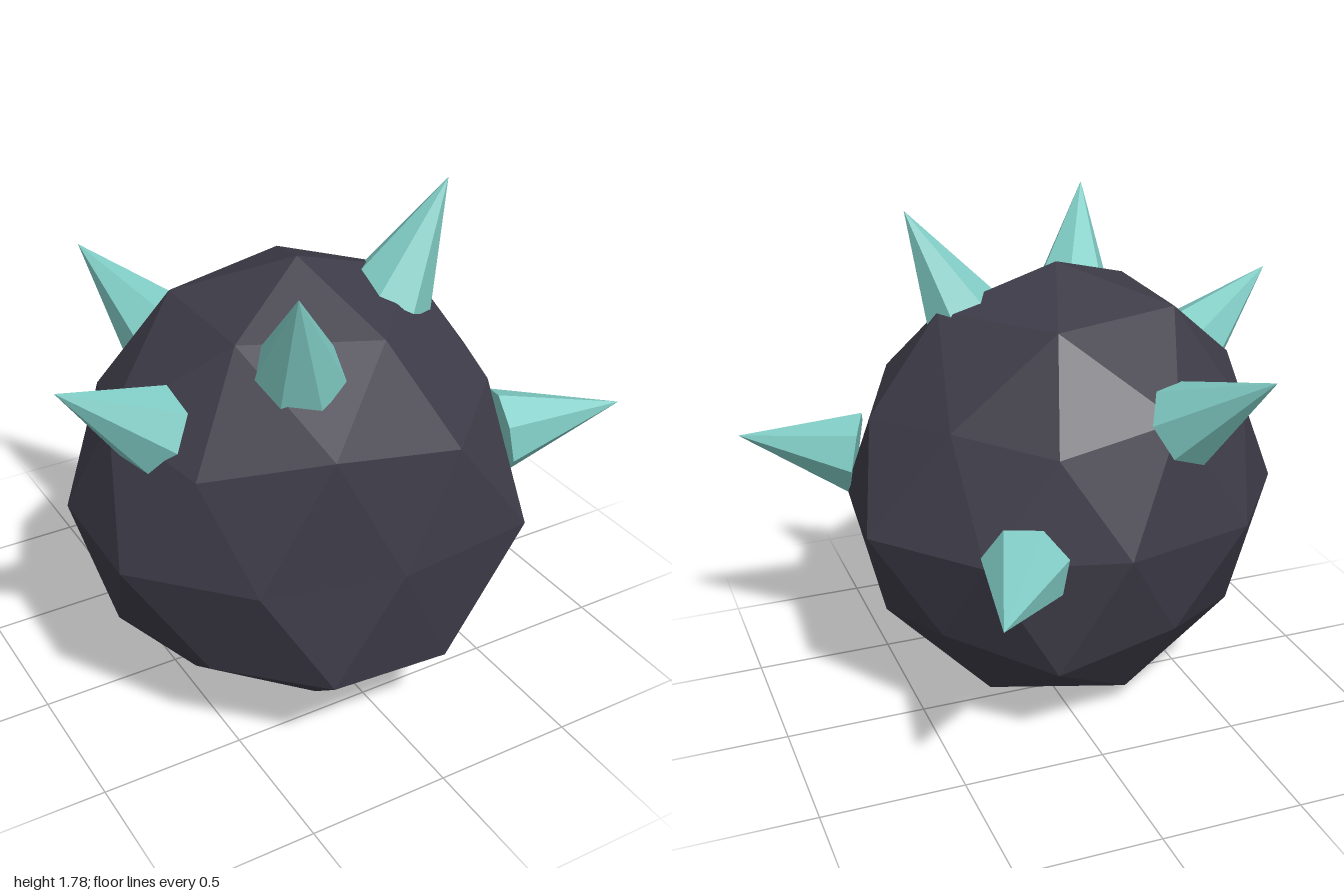
import * as THREE from 'three';

const CENTRE = new THREE.Vector3(-0.08, 0.76, 0.165);
const DEPTH = 0.9; // body is slightly flattened front to back

// Radii of the uneven ball, ring by ring: latitude -> [first azimuth, radii...]
const RINGS = {
  90: [0, 0.83],
  58: [0, 0.82, 0.76, 0.82, 0.82, 0.82],
  32: [36, 0.77, 0.855, 0.8, 0.8, 0.72],
  27: [0, 0.768, 0.82, 0.78, 0.78, 0.78],
  0: [18, 0.77, 0.862, 0.76, 0.776, 0.81, 0.8, 0.815, 0.79, 0.8, 0.81],
  '-27': [36, 0.767, 0.85, 0.775, 0.78, 0.767],
  '-32': [0, 0.775, 0.845, 0.757, 0.78, 0.837],
  '-58': [36, 0.82, 0.77, 0.787, 0.815, 0.8],
  '-90': [0, 0.755],
};

// Spike tips
const TIPS = [
  [-1, 1.43, 0.355],
  [-0.39, 1.73, 0.71],
  [0.43, 1.79, 0.26],
  [1, 0.945, 0.56],
  [-0.48, 1.39, -0.71],
  [0.475, 0.775, -0.85],
];

function radiusAt(v) {
  const lat = Math.round(THREE.MathUtils.radToDeg(Math.asin(THREE.MathUtils.clamp(v.y, -1, 1))));
  const az = THREE.MathUtils.radToDeg(Math.atan2(v.z, v.x));
  // the poles resolve to within a degree
  const [start, ...radii] = RINGS[Math.abs(lat) > 80 ? Math.sign(lat) * 90 : lat];
  const n = radii.length;
  const k = Math.round(((az - start) * n) / 360);
  return radii[((k % n) + n) % n];
}

function createBody() {
  const geo = new THREE.IcosahedronGeometry(1, 1);
  // stand the ball on one of its corners
  geo.rotateX(-Math.atan((1 + Math.sqrt(5)) / 2));
  geo.rotateY(Math.PI / 2);
  const pos = geo.attributes.position;
  const v = new THREE.Vector3();
  for (let i = 0; i < pos.count; i++) {
    v.fromBufferAttribute(pos, i).normalize();
    v.multiplyScalar(radiusAt(v));
    pos.setXYZ(i, v.x, v.y, v.z * DEPTH);
  }
  geo.computeVertexNormals();
  const body = new THREE.Mesh(geo, new THREE.MeshStandardMaterial({ color: 0x3d3b47, flatShading: true }));
  body.name = 'body';
  body.position.copy(CENTRE);
  return body;
}

export function createModel() {
  const model = new THREE.Group();
  model.name = 'spikyBall';
  model.add(createBody());

  // Seven-sided spikes pointing straight out from the centre
  const length = 0.43;
  const spikeGeo = new THREE.ConeGeometry(0.15, length, 7).translate(0, -length / 2, 0);
  const spikeMat = new THREE.MeshStandardMaterial({ color: 0x80cbc4, flatShading: true });
  const up = new THREE.Vector3(0, 1, 0);
  TIPS.forEach((p, i) => {
    const spike = new THREE.Mesh(spikeGeo, spikeMat);
    spike.name = `spike${i + 1}`;
    spike.position.set(...p);
    spike.quaternion.setFromUnitVectors(up, spike.position.clone().sub(CENTRE).normalize());
    model.add(spike);
  });
  return model;
}
